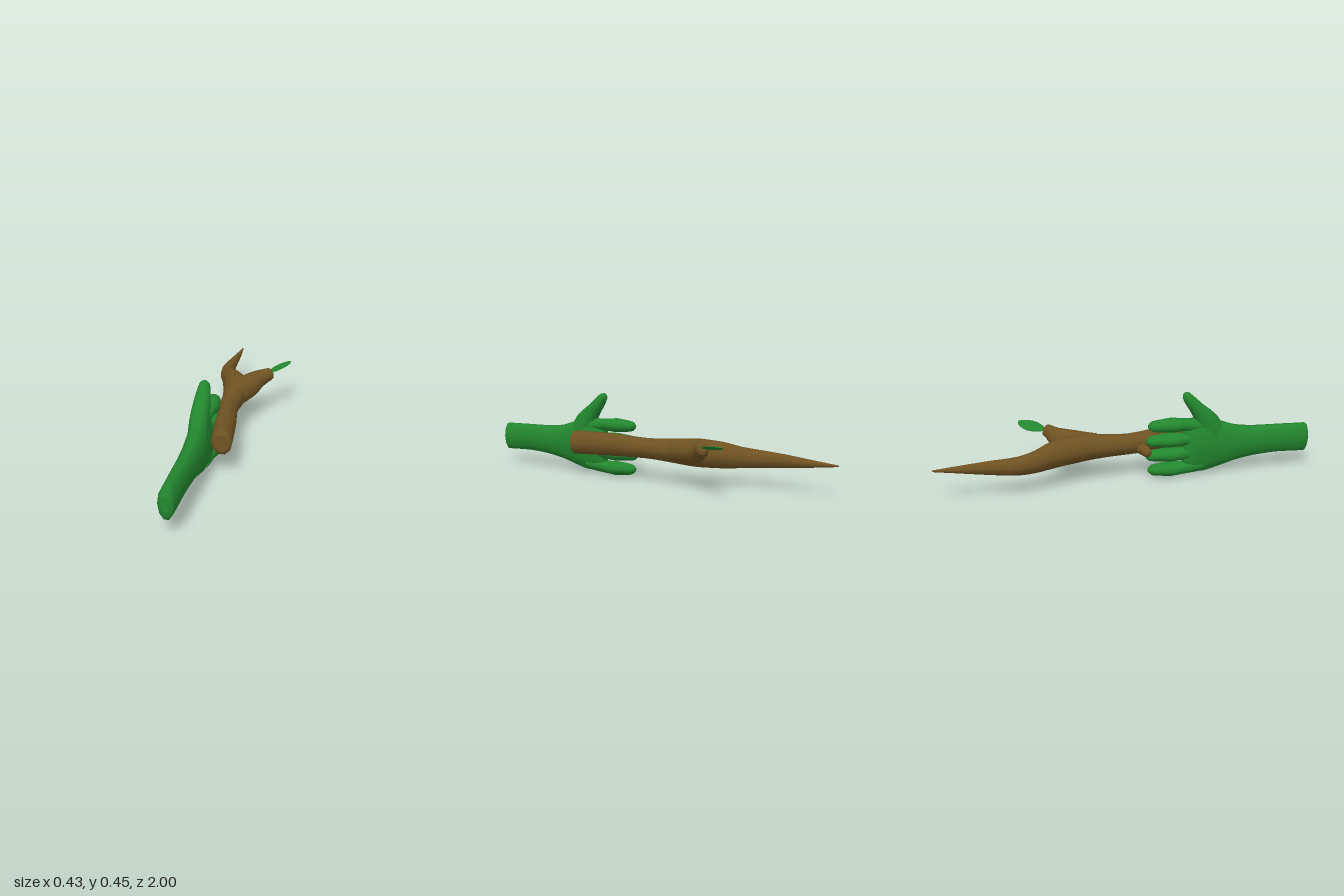
import * as THREE from 'three';

const green = new THREE.MeshStandardMaterial({ color: 0x23882f });
green.name = 'leafGreen';
const brown = new THREE.MeshStandardMaterial({ color: 0x705323 });
brown.name = 'barkBrown';

// Smooth limb through sections [x, y, z, side radius, up radius], with closed ends.
// axis fixes the direction the rings face; without it they follow the path.
function limb(name, material, sections, { up = [0, 1, 0], axis = null, sides = 10, steps = 3 } = {}) {
  const path = new THREE.CatmullRomCurve3(sections.map(s => new THREE.Vector3(s[0], s[1], s[2])));
  const radii = new THREE.CatmullRomCurve3(sections.map(s => new THREE.Vector3(s[3], s[4], 0)));
  const ref = new THREE.Vector3(...up);
  const rows = (sections.length - 1) * steps;
  const pos = [], index = [];
  const ring = k => {
    const t = k / rows;
    const p = path.getPoint(t), r = radii.getPoint(t);
    const dir = axis ? new THREE.Vector3(...axis) : path.getTangent(t);
    const u = ref.clone().cross(dir).normalize();
    const v = dir.clone().cross(u).normalize();
    for (let j = 0; j < sides; j++) {
      const a = (j / sides) * Math.PI * 2;
      const q = p.clone()
        .addScaledVector(u, Math.cos(a) * Math.max(r.x, 0.001))
        .addScaledVector(v, Math.sin(a) * Math.max(r.y, 0.001));
      pos.push(q.x, q.y, q.z);
    }
    return p;
  };
  for (let k = 0; k <= rows; k++) ring(k);
  for (let k = 0; k < rows; k++) {
    for (let j = 0; j < sides; j++) {
      const a = k * sides + j, b = k * sides + (j + 1) % sides;
      index.push(a, b, a + sides, b, b + sides, a + sides);
    }
  }
  // separate end rings keep the rim crisp
  for (const k of [0, rows]) {
    const base = pos.length / 3;
    const p = ring(k);
    const centre = pos.length / 3;
    pos.push(p.x, p.y, p.z);
    for (let j = 0; j < sides; j++) {
      const a = base + j, b = base + (j + 1) % sides;
      if (k === 0) index.push(centre, b, a);
      else index.push(centre, a, b);
    }
  }
  const geometry = new THREE.BufferGeometry();
  geometry.setAttribute('position', new THREE.Float32BufferAttribute(pos, 3));
  geometry.setIndex(index);
  geometry.computeVertexNormals();
  const mesh = new THREE.Mesh(geometry, material);
  mesh.name = name;
  return mesh;
}

export function createModel() {
  const model = new THREE.Group();
  model.name = 'handHoldingBranch';
  const back = { axis: [0, 0, -1] };

  // Hand: forearm and palm in one piece
  const hand = new THREE.Group();
  hand.name = 'hand';
  const hx = -0.09;
  hand.add(limb('forearmAndPalm', green, [
    [hx, 0.165, 1.0, 0.02, 0.04],
    [hx, 0.163, 0.985, 0.038, 0.08],
    [hx, 0.167, 0.82, 0.042, 0.079],
    [hx, 0.164, 0.68, 0.046, 0.085],
    [hx, 0.162, 0.58, 0.05, 0.1],
    [hx, 0.165, 0.48, 0.054, 0.132],
    [hx, 0.168, 0.4, 0.055, 0.155],
    [hx, 0.163, 0.33, 0.05, 0.152],
    [hx, 0.16, 0.29, 0.025, 0.13],
  ], back));

  // Four fingers, top to bottom
  [[0.281, 0.1], [0.2, 0.09], [0.122, 0.085], [0.041, 0.1]].forEach(([y, tip], i) => {
    hand.add(limb('finger' + (i + 1), green, [
      [hx, y + (0.16 - y) * 0.12, 0.4, 0.04, 0.036],
      [hx, y, 0.28, 0.043, 0.034],
      [hx, y, 0.17, 0.043, 0.034],
      [hx, y, tip + 0.02, 0.035, 0.027],
      [hx, y, tip, 0.012, 0.01],
    ], { ...back, steps: 2 }));
  });

  // Thumb pointing up and forward along the branch
  hand.add(limb('thumb', green, [
    [hx, 0.19, 0.47, 0.05, 0.075],
    [hx, 0.29, 0.42, 0.049, 0.062],
    [hx, 0.36, 0.365, 0.043, 0.04],
    [hx, 0.41, 0.323, 0.034, 0.031],
    [hx, 0.437, 0.302, 0.026, 0.023],
    [hx, 0.448, 0.292, 0.01, 0.01],
  ], { up: [0, 0.6, 0.8] }));
  model.add(hand);

  // Branch: main limb tapering to a point
  const branch = new THREE.Group();
  branch.name = 'branch';
  branch.add(limb('mainLimb', brown, [
    [0.02, 0.187, 0.435, 0.035, 0.045],
    [0.018, 0.187, 0.42, 0.053, 0.066],
    [-0.012, 0.187, 0.2, 0.056, 0.062],
    [-0.042, 0.18, 0.0, 0.053, 0.055],
    [-0.045, 0.182, -0.18, 0.066, 0.066],
    [-0.06, 0.18, -0.3, 0.078, 0.074],
    [-0.1, 0.172, -0.41, 0.07, 0.069],
    [-0.146, 0.16, -0.5, 0.052, 0.056],
    [-0.175, 0.156, -0.59, 0.039, 0.047],
    [-0.174, 0.158, -0.72, 0.028, 0.036],
    [-0.167, 0.16, -0.88, 0.015, 0.018],
    [-0.165, 0.162, -1.0, 0.004, 0.004],
  ], back));

  // Side branch that makes the fork
  branch.add(limb('sideBranch', brown, [
    [-0.035, 0.185, -0.17, 0.06, 0.062],
    [0.0, 0.195, -0.28, 0.072, 0.066],
    [0.05, 0.213, -0.355, 0.05, 0.054],
    [0.09, 0.228, -0.385, 0.034, 0.042],
    [0.118, 0.237, -0.405, 0.029, 0.034],
    [0.124, 0.239, -0.41, 0.016, 0.02],
  ]));

  // Small stub poking out past the fingertips
  branch.add(limb('stub', brown, [
    [-0.05, 0.165, 0.06, 0.035, 0.035],
    [-0.105, 0.155, 0.08, 0.028, 0.028],
    [-0.132, 0.15, 0.09, 0.022, 0.022],
    [-0.14, 0.149, 0.093, 0.01, 0.01],
  ], { sides: 8, steps: 2 }));

  // Thin leaf on the tip of the side branch
  branch.add(limb('leaf', green, [
    [0.113, 0.239, -0.415, 0.008, 0.003],
    [0.13, 0.244, -0.438, 0.033, 0.0045],
    [0.158, 0.253, -0.478, 0.047, 0.0045],
    [0.185, 0.262, -0.512, 0.039, 0.004],
    [0.204, 0.268, -0.535, 0.017, 0.003],
    [0.209, 0.27, -0.541, 0.003, 0.002],
  ], { up: [-0.3, 0.95, 0] }));
  model.add(branch);

  return model;
}
